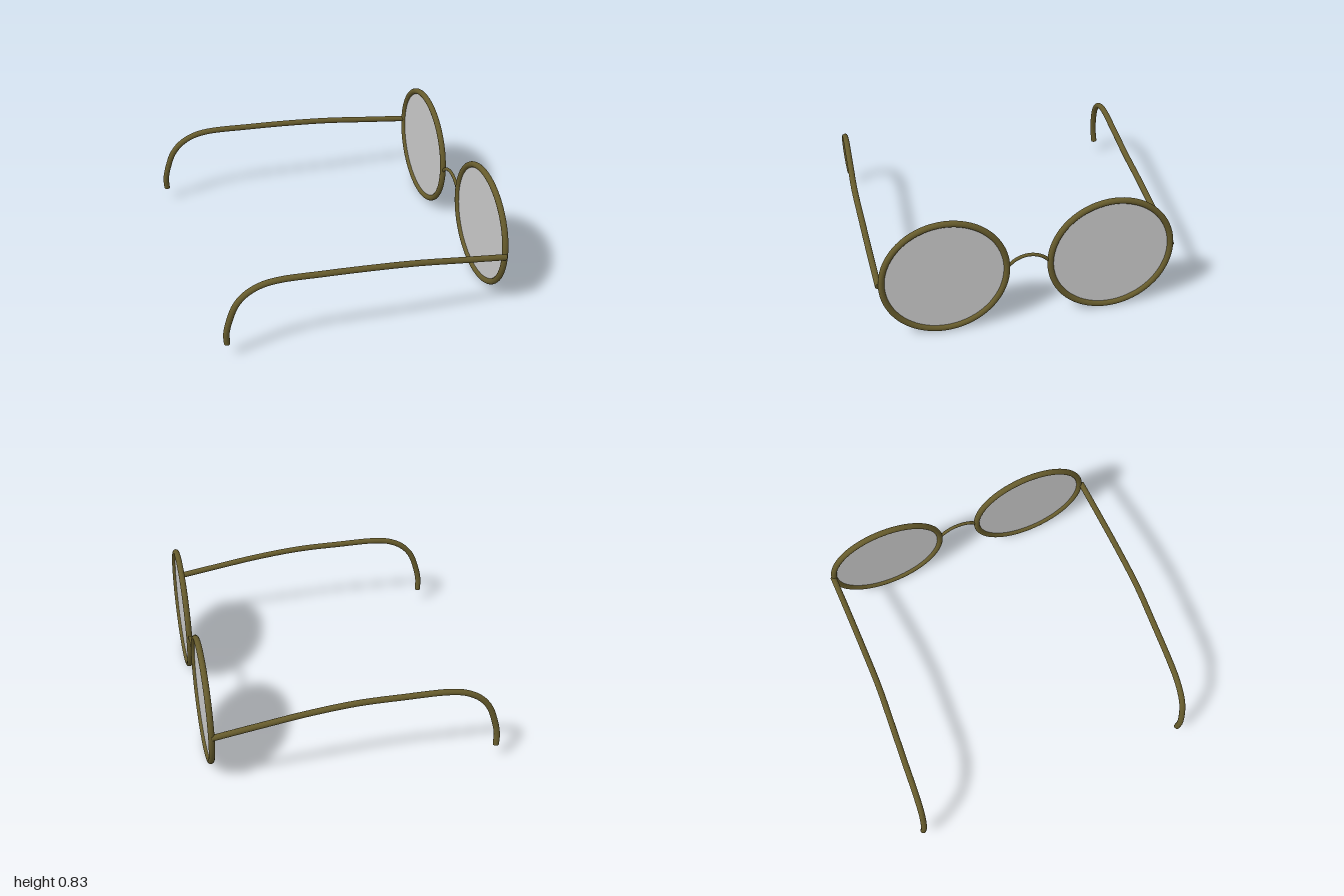
import * as THREE from 'three';

const FRONT_X = 0.915;   // plane of the rims
const RIM_Y = 0.417;
const TUBE = 0.02;

const frameMetal = new THREE.MeshStandardMaterial({ color: 0x665b2c });
frameMetal.name = 'olive frame metal';
const lensGrey = new THREE.MeshStandardMaterial({ color: 0xc8c8c8, side: THREE.DoubleSide });
lensGrey.name = 'pale grey lens';

function named(geometry, material, name) {
  const mesh = new THREE.Mesh(geometry, material);
  mesh.name = name;
  return mesh;
}

// Smooth round wire through a few points, closed by a flat disc at each end
function wire(points, radius, segments, name) {
  const group = new THREE.Group();
  group.name = name;
  const curve = new THREE.CatmullRomCurve3(points.map(p => new THREE.Vector3(...p)), false, 'centripetal');
  group.add(named(new THREE.TubeGeometry(curve, segments, radius, 16), frameMetal, name + 'Wire'));
  for (const [t, sign] of [[0, -1], [1, 1]]) {
    const cap = named(new THREE.CircleGeometry(radius, 16), frameMetal, name + 'End');
    cap.position.copy(curve.getPointAt(t));
    const outward = curve.getTangentAt(t).multiplyScalar(sign);
    cap.quaternion.setFromUnitVectors(new THREE.Vector3(0, 0, 1), outward);
    group.add(cap);
  }
  return group;
}

// Round rim holding a flat lens, facing +x
function eyepiece(z, side) {
  const group = new THREE.Group();
  group.name = side + 'Eyepiece';
  group.add(named(new THREE.TorusGeometry(0.395, TUBE, 16, 72), frameMetal, side + 'Rim'));
  group.add(named(new THREE.CircleGeometry(0.388, 72), lensGrey, side + 'Lens'));
  group.rotation.y = Math.PI / 2;
  group.position.set(FRONT_X, RIM_Y, z);
  return group;
}

export function createModel() {
  const model = new THREE.Group();
  model.name = 'spectacles';

  model.add(eyepiece(0.559, 'first'), eyepiece(-0.511, 'second'));

  // Thin arched nose bridge
  model.add(wire([
    [FRONT_X, 0.425, 0.163], [FRONT_X, 0.467, 0.117], [FRONT_X, 0.489, 0.07],
    [FRONT_X, 0.496, 0.024], [FRONT_X, 0.489, -0.022], [FRONT_X, 0.467, -0.069],
    [FRONT_X, 0.425, -0.115],
  ], 0.011, 32, 'bridge'));

  // Side arms: the same curve, hooked down behind the ear, set at each outer edge
  const armPath = [
    [0.915, 0.42, -0.913], [0.62, 0.463, -0.909], [0.31, 0.507, -0.907],
    [0, 0.536, -0.908], [-0.29, 0.547, -0.922], [-0.59, 0.551, -0.938],
    [-0.70, 0.53, -0.943], [-0.79, 0.48, -0.948], [-0.853, 0.405, -0.953],
    [-0.895, 0.29, -0.961], [-0.915, 0.19, -0.970], [-0.912, 0.105, -0.979],
  ];
  ['second', 'first'].forEach((side, i) => {
    const arm = wire(armPath, TUBE, 80, side + 'Arm');
    arm.position.z = i * 1.885;
    model.add(arm);
  });

  return model;
}
